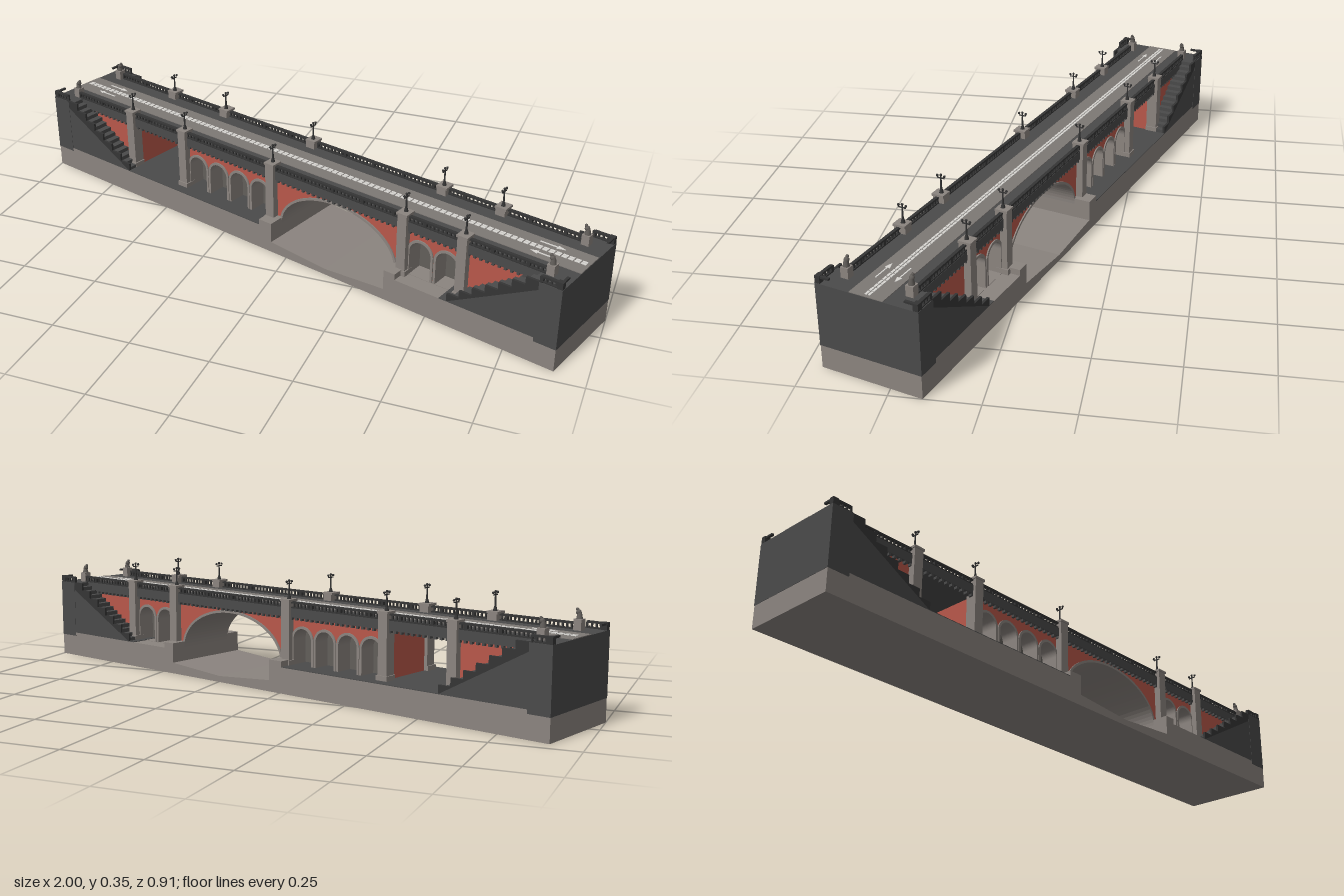
import * as THREE from 'three';
import { mergeGeometries } from 'three/addons/utils/BufferGeometryUtils.js';

const mat = (name, color) => {
  const m = new THREE.MeshStandardMaterial({ color });
  m.name = name;
  return m;
};
const stone = mat('pale stone', 0x8b847f);
const red = mat('red brick', 0xb8574a);
const dark = mat('dark masonry', 0x4a4a4a);
const iron = mat('iron railing', 0x353535);
const shade = mat('recess stone', 0x625e5a);
const road = mat('road surface', 0x7d7874);
const white = mat('road paint', 0xd8d6d2);

const HALF = 1, WIDE = 0.1575;          // half length and half width of the base
const GROUND = 0.083, SOFFIT = 0.235, DECK = 0.264;
const BODY = 0.1;                       // half thickness of the bridge walls
const PIERS = [-0.664, -0.423, -0.045, 0.459, 0.664];

// Box from its limits along the bridge (x), up (y) and across (z)
function boxGeo(x0, x1, y0, y1, z0, z1) {
  const g = new THREE.BoxGeometry(Math.abs(x1 - x0), y1 - y0, Math.abs(z1 - z0));
  return g.translate((x0 + x1) / 2, (y0 + y1) / 2, (z0 + z1) / 2);
}
const polygon = (pts) => new THREE.Shape(pts.map(([x, y]) => new THREE.Vector2(x, y)));

// Side profile pulled across the bridge between z0 and z1
function pull(shape, z0, z1) {
  const g = new THREE.ExtrudeGeometry(shape, { depth: z1 - z0, bevelEnabled: false, curveSegments: 20 });
  return g.translate(0, 0, z0);
}

// Round-headed opening; with a smaller copy as a hole it becomes a frame
function archPath(cx, half, bottom, spring, rise, Type = THREE.Path) {
  const p = new Type();
  p.moveTo(cx - half, bottom);
  p.lineTo(cx + half, bottom);
  p.lineTo(cx + half, spring);
  p.absellipse(cx, spring, half, rise, 0, Math.PI, false, 0);
  p.lineTo(cx - half, bottom);
  return p;
}

export function createModel() {
  const model = new THREE.Group();
  const bridge = new THREE.Group();
  bridge.name = 'bridge';
  bridge.rotation.y = -0.3107;
  model.add(bridge);

  const add = (name, geo, material) => {
    const m = new THREE.Mesh(geo, material);
    m.name = name;
    bridge.add(m);
    return m;
  };
  const box = (name, material, ...limits) => add(name, boxGeo(...limits), material);

  // Base block with the shallow V-shaped channel
  add('base', pull(polygon([
    [-HALF, 0], [HALF, 0], [HALF, GROUND], [0.425, GROUND], [0.425, 0.036], [0.207, 0.02],
    [-0.01, 0.036], [-0.01, GROUND], [-HALF, GROUND],
  ]), -WIDE, WIDE), stone);
  box('leftQuayPaving', dark, -0.93, -0.06, GROUND, GROUND + 0.002, -WIDE, WIDE);
  box('rightQuayPaving', dark, 0.62, 0.93, GROUND, GROUND + 0.002, -WIDE, WIDE);

  // Solid wall behind each stair
  box('leftWall', red, -0.95, -0.65, GROUND, SOFFIT, -BODY, BODY);
  box('rightWall', red, 0.664, 0.95, GROUND, SOFFIT, -BODY, BODY);

  // Arcades: recessed round arches on both faces
  function arcade(x0, x1, count) {
    const step = (x1 - x0 - 0.02) / count, half = step * 0.4;
    const centres = Array.from({ length: count }, (_, i) => x0 + 0.01 + step * (i + 0.5));
    box('arcadeCore', shade, x0 + 0.001, x1 - 0.001, GROUND, SOFFIT, -0.045, 0.045);
    for (const s of [-1, 1]) {
      const face = polygon([[x0, GROUND], [x1, GROUND], [x1, SOFFIT], [x0, SOFFIT]]);
      centres.forEach((c) => face.holes.push(archPath(c, half, GROUND + 0.001, 0.165, half)));
      const z = s > 0 ? 0.045 : -BODY;
      add('arcadeFace', pull(face, z, z + BODY - 0.045), [red, stone]);
      centres.forEach((c) => {
        const frame = archPath(c, half + 0.008, GROUND, 0.165, half + 0.008, THREE.Shape);
        frame.holes.push(archPath(c, half, GROUND + 0.001, 0.165, half));
        const fz = s > 0 ? BODY : -BODY - 0.004;
        add('archFrame', pull(frame, fz, fz + 0.004), stone);
      });
    }
  }
  arcade(-0.423, -0.045, 4);
  arcade(0.459, 0.664, 2);
  box('underpassWall', red, -0.428, -0.423, GROUND, SOFFIT, -BODY, BODY);

  // Main arch over the channel
  const span = new THREE.Shape();
  span.moveTo(-0.045, GROUND);
  span.lineTo(-0.01, GROUND);
  span.absellipse(0.2075, GROUND, 0.2175, 0.137, Math.PI, 0, true, 0);
  span.lineTo(0.459, GROUND);
  span.lineTo(0.459, SOFFIT);
  span.lineTo(-0.045, SOFFIT);
  add('mainArch', pull(span, -BODY, BODY), [red, stone]);
  const ring = new THREE.Shape();
  ring.absellipse(0.2075, GROUND, 0.2175, 0.137, 0, Math.PI, false, 0);
  ring.absellipse(0.2075, GROUND, 0.2255, 0.145, Math.PI, 0, true, 0);
  for (const z of [-BODY - 0.004, BODY]) add('archRing', pull(ring, z, z + 0.004), stone);

  // Deck, road and painted markings
  box('deck', dark, -0.95, 0.95, SOFFIT, DECK, -0.112, 0.112);
  box('roadway', road, -HALF, HALF, DECK, DECK + 0.002, -0.052, 0.052);
  for (const z of [-0.005, 0.005]) {
    const dashes = [];
    for (let x = -0.985; x < 0.98; x += 0.02) dashes.push(boxGeo(x, x + 0.016, DECK + 0.002, DECK + 0.004, z - 0.0035, z + 0.0035));
    add('centreLine', mergeGeometries(dashes), white);
  }
  for (const e of [-1, 1]) for (const s of [-1, 1]) {
    const arrow = polygon([[-0.04, -0.002], [0.015, -0.002], [0.015, -0.008], [0.04, 0], [0.015, 0.008], [0.015, 0.002], [-0.04, 0.002]]);
    const g = new THREE.ExtrudeGeometry(arrow, { depth: 0.002, bevelEnabled: false });
    g.rotateX(-Math.PI / 2);
    if (s > 0) g.rotateY(Math.PI);
    add('roadArrow', g.translate(e * 0.87, DECK + 0.002, s * 0.029), white);
  }

  // Open balustrade between two points along the bridge
  function balustrade(x0, x1, z) {
    const parts = [
      boxGeo(x0, x1, 0.279, 0.285, z - 0.005, z + 0.005),
      boxGeo(x0, x1, DECK, DECK + 0.004, z - 0.005, z + 0.005),
    ];
    const n = Math.max(2, Math.round((x1 - x0) / 0.014));
    for (let i = 0; i <= n; i++) {
      const x = x0 + ((x1 - x0) * i) / n, w = i % 8 ? 0.0025 : 0.005;
      parts.push(boxGeo(x - w, x + w, DECK, 0.283, z - w, z + w));
    }
    add('balustrade', mergeGeometries(parts), iron);
  }

  for (const s of [-1, 1]) {
    balustrade(-0.925, 0.925, s * 0.106);

    // Small brackets under the cornice
    const brackets = [];
    for (let x = -0.9; x < 0.91; x += 0.02) brackets.push(boxGeo(x - 0.004, x + 0.004, 0.227, SOFFIT, s * 0.098, s * 0.111));
    add('brackets', mergeGeometries(brackets), dark);

    // Low walls beside the channel
    box('channelWall', stone, -0.06, -0.01, GROUND, 0.102, s * 0.1, s * WIDE);
    box('channelWall', stone, 0.425, 0.465, GROUND, 0.102, s * 0.1, s * WIDE);

    // Piers carrying lamps
    for (const x of PIERS) {
      box('pier', stone, x - 0.016, x + 0.016, GROUND, 0.284, s * 0.085, s * 0.122);
      box('pierFoot', stone, x - 0.02, x + 0.02, GROUND, 0.1, s * 0.085, s * 0.126);
      box('pierCap', stone, x - 0.019, x + 0.019, 0.284, 0.291, s * 0.085, s * 0.125);
      const z = s * 0.102;
      const lamp = [
        new THREE.CylinderGeometry(0.002, 0.0035, 0.054, 8).translate(x, 0.318, z),
        new THREE.CylinderGeometry(0.004, 0.007, 0.012, 8).translate(x, 0.297, z),
        boxGeo(x - 0.0015, x + 0.0015, 0.337, 0.34, z - 0.012, z + 0.012),
      ];
      for (const d of [-0.012, 0, 0.012]) lamp.push(new THREE.SphereGeometry(0.004, 8, 6).translate(x, d ? 0.345 : 0.348, z + d));
      add('lamp', mergeGeometries(lamp), iron);
    }

    for (const e of [-1, 1]) {
      // Stair block and its stepped parapet
      const n = 14, top = 0.93, foot = 0.645;
      const steps = [[e * 0.95, GROUND], [e * foot, GROUND]];
      const rail = [[e * 0.94, DECK - 0.02], [e * foot, GROUND]];
      for (let i = 0; i < n; i++) {
        const xa = foot + ((top - foot) * i) / n, xb = foot + ((top - foot) * (i + 1)) / n;
        const y = GROUND + ((DECK - GROUND) * (i + 1)) / n;
        steps.push([e * xa, y], [e * xb, y]);
        if (i % 2 === 0) rail.push([e * xa, y + 0.014], [e * (2 * xb - xa), y + 0.014]);
      }
      steps.push([e * 0.95, DECK]);
      rail.push([e * 0.94, DECK + 0.006]);
      const [a, b] = s > 0 ? [BODY, 0.152] : [-0.152, -BODY];
      add('stair', pull(polygon(steps), a, b), dark);
      const [c, d] = s > 0 ? [0.15, WIDE] : [-WIDE, -0.15];
      add('stairParapet', pull(polygon(rail), c, d), iron);
      add('stairSide', pull(polygon([[e * 0.95, GROUND], [e * foot, GROUND], [e * 0.94, DECK - 0.02], [e * 0.95, DECK - 0.02]]), c, d), dark);

      // Landing rail and corner posts
      balustrade(Math.min(e * 0.935, e * 0.992), Math.max(e * 0.935, e * 0.992), s * 0.151);
      box('cornerPost', iron, e * 0.982, e * HALF, DECK, 0.286, s * 0.142, s * WIDE);
      box('endRail', iron, e * 0.99, e * 0.998, 0.279, 0.285, s * 0.115, s * 0.15);

      // Statue on a pedestal
      const x = e * 0.937, z = s * 0.1;
      box('pedestal', stone, x - 0.012, x + 0.012, DECK, 0.296, z - 0.012, z + 0.012);
      add('statue', mergeGeometries([
        new THREE.CylinderGeometry(0.006, 0.01, 0.02, 8).translate(x, 0.305, z),
        new THREE.SphereGeometry(0.008, 8, 6).translate(x - e * 0.003, 0.314, z),
        new THREE.SphereGeometry(0.005, 8, 6).translate(x - e * 0.007, 0.322, z),
      ]), shade);
    }
  }

  // End abutments across the full width
  for (const e of [-1, 1]) box('abutment', dark, e * 0.93, e * (HALF + 0.0008), 0.071, DECK, -WIDE - 0.0008, WIDE + 0.0008);

  return model;
}
